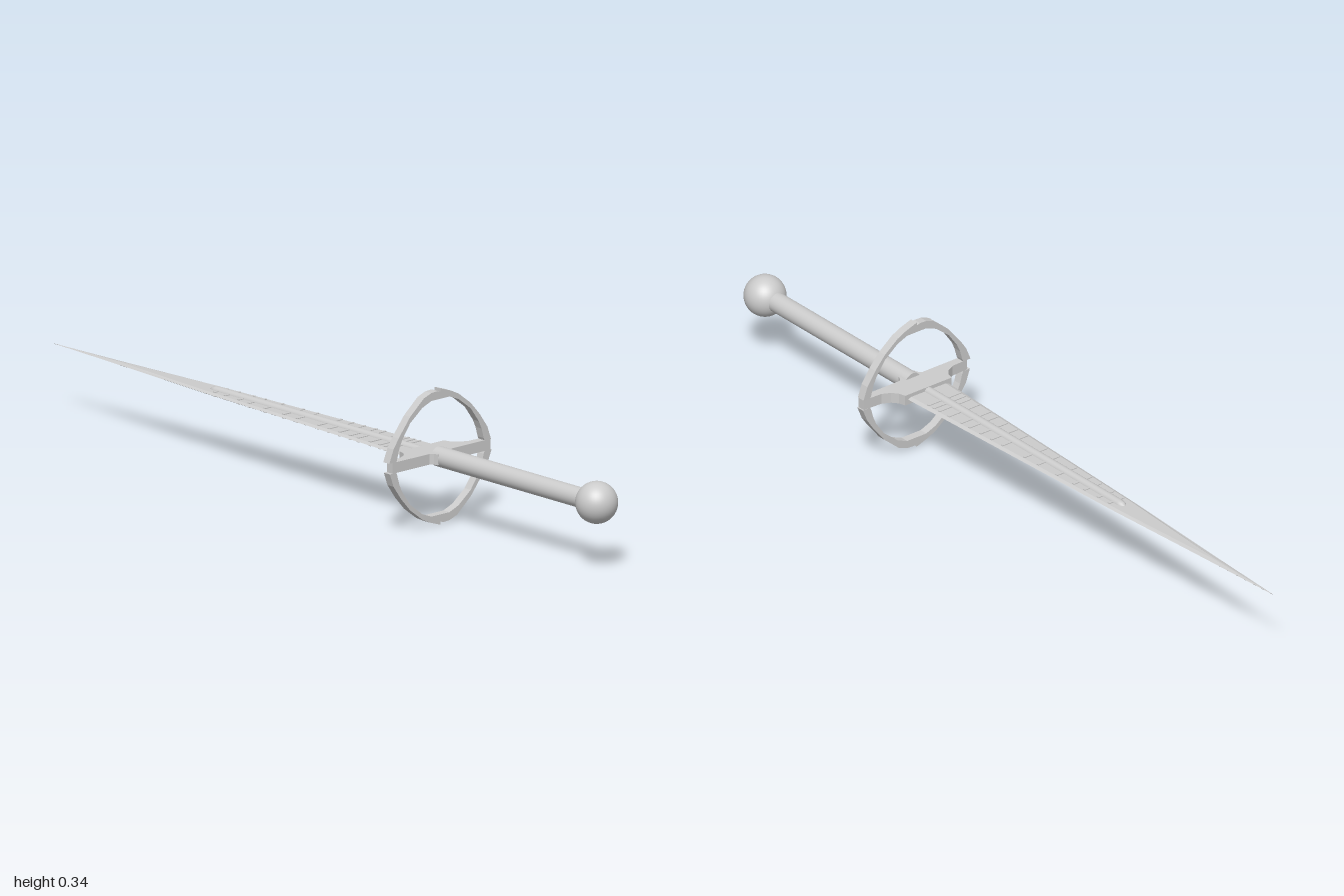
import * as THREE from 'three';

const CY = 0.172; // height of the sword's axis

export function createModel() {
  const model = new THREE.Group();
  const smooth = new THREE.MeshStandardMaterial({ color: 0xcccccc });
  const flat = new THREE.MeshStandardMaterial({ color: 0xcccccc, flatShading: true, side: THREE.DoubleSide });

  const add = (name, geometry, material, x = 0, y = 0, z = 0) => {
    const mesh = new THREE.Mesh(geometry, material);
    mesh.name = name;
    mesh.position.set(x, CY + y, z);
    model.add(mesh);
    return mesh;
  };
  const shapeOf = pts => new THREE.Shape(pts.map(p => new THREE.Vector2(p[0], p[1])));

  // pommel and grip
  add('pommel', new THREE.SphereGeometry(0.0525, 40, 24), smooth, 0, 0, 0.9475);
  add('grip', new THREE.CylinderGeometry(0.025, 0.025, 0.55, 32).rotateX(Math.PI / 2), smooth, 0, 0, 0.655);

  // guard bar: outline in x and z, flaring towards the blade
  const bar = shapeOf([
    [-0.158, -0.387], [-0.036, -0.387], [-0.028, -0.394], [-0.025, -0.405],
    [0.025, -0.405], [0.028, -0.394], [0.036, -0.387], [0.165, -0.387],
    [0.165, -0.366], [0.112, -0.364], [0.09, -0.353], [0.078, -0.338], [0.073, -0.32],
    [-0.073, -0.32], [-0.078, -0.338], [-0.09, -0.353], [-0.112, -0.364], [-0.158, -0.366],
  ]);
  const barGeometry = new THREE.ExtrudeGeometry(bar, { depth: 0.027, bevelEnabled: false });
  add('guardBar', barGeometry.rotateX(-Math.PI / 2), flat, 0, -0.0135, 0);

  // guard ring: two different quarter arcs, repeated by a half turn
  const arcs = {
    pointedArc: [
      [0, 0.172], [0.035, 0.16], [0.06, 0.148], [0.1, 0.117], [0.13, 0.083], [0.155, 0.047], [0.167, 0.0135],
      [0.146, 0.0135], [0.143, 0.02], [0.136, 0.045], [0.127, 0.065], [0.1, 0.103], [0.06, 0.134], [0.03, 0.146], [0, 0.146],
    ],
    roundedArc: [
      [0, 0.164], [-0.01, 0.167], [-0.03, 0.166], [-0.055, 0.157], [-0.1, 0.119], [-0.138, 0.072], [-0.155, 0.047], [-0.169, 0.0135],
      [-0.146, 0.0135], [-0.143, 0.02], [-0.136, 0.045], [-0.127, 0.065], [-0.1, 0.103], [-0.06, 0.134], [-0.03, 0.146], [0, 0.146],
    ],
  };
  for (const [name, pts] of Object.entries(arcs)) {
    const arc = new THREE.ExtrudeGeometry(shapeOf(pts), { depth: 0.022, bevelEnabled: false });
    add(name + 'Upper', arc, flat, 0, 0, 0.365);
    add(name + 'Lower', arc, flat, 0, 0, 0.365).rotation.z = Math.PI;
  }

  // blade: thin six-sided sections, becoming a diamond towards the tip
  const sections = [ // z, half width, half width of flat, half thickness
    [0.34, 0.065, 0.055, 0.004], [-0.43, 0.033, 0.025, 0.004],
    [-0.77, 0.013, 0.002, 0.003], [-1, 0.0005, 0.0002, 0.0005],
  ];
  const positions = [], index = [];
  for (const [z, w, f, t] of sections)
    positions.push(w, 0, z, f, t, z, -f, t, z, -w, 0, z, -f, -t, z, f, -t, z);
  for (let s = 0; s < sections.length - 1; s++)
    for (let i = 0; i < 6; i++) {
      const a = s * 6 + i, b = s * 6 + (i + 1) % 6;
      index.push(a, b, a + 6, b, b + 6, a + 6);
    }
  const blade = new THREE.BufferGeometry();
  blade.setAttribute('position', new THREE.Float32BufferAttribute(positions, 3));
  blade.setIndex(index);
  blade.computeVertexNormals();
  add('blade', blade, flat);

  // rounded rod along the middle of the blade
  const rodProfile = [[0.0125, -0.36], [0.0125, 0.415], [0.01, 0.427], [0.006, 0.433], [0, 0.436]]
    .map(p => new THREE.Vector2(p[0], p[1]));
  add('bladeRod', new THREE.LatheGeometry(rodProfile, 24).rotateX(-Math.PI / 2), smooth);

  // cross ribs on both sides of the rod
  const ribs = [-0.4, -0.36, -0.31, -0.27, -0.21, -0.14, -0.09, -0.01, 0.03, 0.07, 0.11, 0.14, 0.185, 0.22, 0.24, 0.26];
  for (const z of ribs) {
    const outer = 0.041 + 0.0416 * (z - 0.02);
    const width = outer - 0.011;
    const rib = new THREE.BoxGeometry(width, 0.012, 0.007);
    for (const side of [-1, 1])
      add('bladeRib', rib, flat, side * (0.011 + width / 2), 0, z);
  }
  return model;
}
